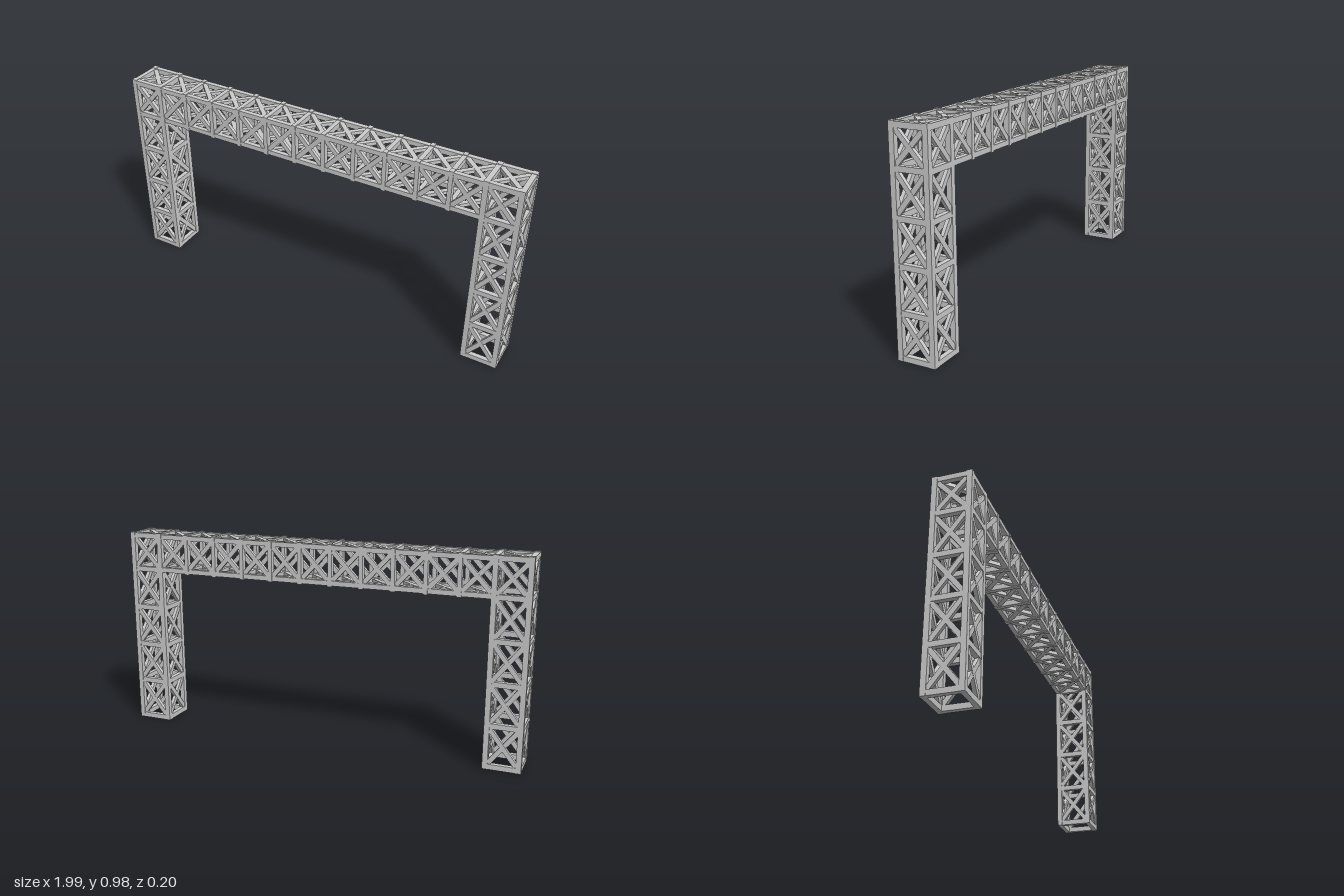
import * as THREE from 'three';

const material = new THREE.MeshStandardMaterial({ color: 0xcccccc, flatShading: true });
const BAR = 0.025;
const V = (x, y, z) => new THREE.Vector3(x, y, z);

// square-cut bar from a to b; "normal" is the outward side of its truss face
function bar(group, name, a, b, normal, width = BAR, depth = BAR, extend = 0) {
  const dir = b.clone().sub(a);
  const length = dir.length() + extend;
  dir.normalize();
  const side = new THREE.Vector3().crossVectors(dir, normal).normalize();
  const mesh = new THREE.Mesh(new THREE.BoxGeometry(width, length, depth), material);
  mesh.quaternion.setFromRotationMatrix(new THREE.Matrix4().makeBasis(side, dir, normal));
  mesh.position.copy(a).add(b).multiplyScalar(0.5);
  mesh.name = name;
  group.add(mesh);
}

// two crossing diagonals in the face with corners a, b, c, d (in order)
function cross(group, a, b, c, d, normal) {
  bar(group, 'diagonalBrace', a, c, normal, 0.022, 0.018);
  bar(group, 'diagonalBrace', b, d, normal, 0.022, 0.016);
}

// the four corners of a horizontal ring, in order
const ring = (cx, y, hx, hz) => [V(cx - hx, y, -hz), V(cx + hx, y, -hz), V(cx + hx, y, hz), V(cx - hx, y, hz)];
const sideNormals = [V(0, 0, -1), V(1, 0, 0), V(0, 0, 1), V(-1, 0, 0)];
const UP = V(0, 1, 0);

const HX = 0.0755, HZ = 0.0765, COLUMN_X = 0.907;
const levels = [0.0125, 0.2075, 0.4025, 0.5975, 0.7945, 0.963];

function makeColumn(name, cx) {
  const g = new THREE.Group();
  g.name = name;
  const rings = levels.map(y => ring(cx, y, HX, HZ));
  const top = rings.length - 1;
  for (let i = 0; i < 4; i++) {
    const j = (i + 1) % 4;
    // corner post with a slightly raised tip
    bar(g, 'cornerPost', V(rings[0][i].x, 0, rings[0][i].z), V(rings[0][i].x, 0.978, rings[0][i].z), sideNormals[2]);
    rings.forEach((r, k) => {
      bar(g, 'ringBar', r[i], r[j], sideNormals[i], BAR, 0.023);
      if (k < top) cross(g, r[i], r[j], rings[k + 1][j], rings[k + 1][i], sideNormals[i]);
    });
  }
  cross(g, ...rings[top], UP);
  return g;
}

function makeBeam() {
  const g = new THREE.Group();
  g.name = 'crossBeam';
  const panels = 11, x0 = -COLUMN_X + HX, step = -2 * x0 / panels;
  const yLow = 0.7965, yHigh = 0.961, hz = 0.0755;

  // four long chords
  for (const y of [yLow, yHigh])
    for (const z of [-hz, hz])
      bar(g, 'chord', V(x0, y, z), V(-x0, y, z), V(0, 0, 1), 0.023, 0.023);

  // frames between panels, their ends standing a little proud of the chords
  for (let i = 0; i <= panels; i++) {
    const x = x0 + i * step;
    for (const z of [-hz, hz])
      bar(g, 'post', V(x, yLow, z), V(x, yHigh, z), V(0, 0, 1), 0.02, 0.027, 0.032);
    for (const y of [yLow, yHigh])
      bar(g, 'crossBar', V(x, y, -hz), V(x, y, hz), UP, 0.021, 0.026, 0.024);
  }

  // diagonals on front, back, top and bottom of every panel
  for (let i = 0; i < panels; i++) {
    const a = x0 + i * step, b = a + step;
    for (const z of [-hz, hz])
      cross(g, V(a, yLow, z), V(b, yLow, z), V(b, yHigh, z), V(a, yHigh, z), V(0, 0, 1));
    for (const y of [yLow, yHigh])
      cross(g, V(a, y, -hz), V(b, y, -hz), V(b, y, hz), V(a, y, hz), UP);
  }
  return g;
}

export function createModel() {
  const model = new THREE.Group();
  model.name = 'trussGate';
  const gate = new THREE.Group();
  gate.name = 'gate';
  gate.add(makeColumn('leftColumn', COLUMN_X), makeColumn('rightColumn', -COLUMN_X), makeBeam());
  // the gate stands very slightly turned
  gate.rotation.y = -0.0115;
  model.add(gate);
  return model;
}
